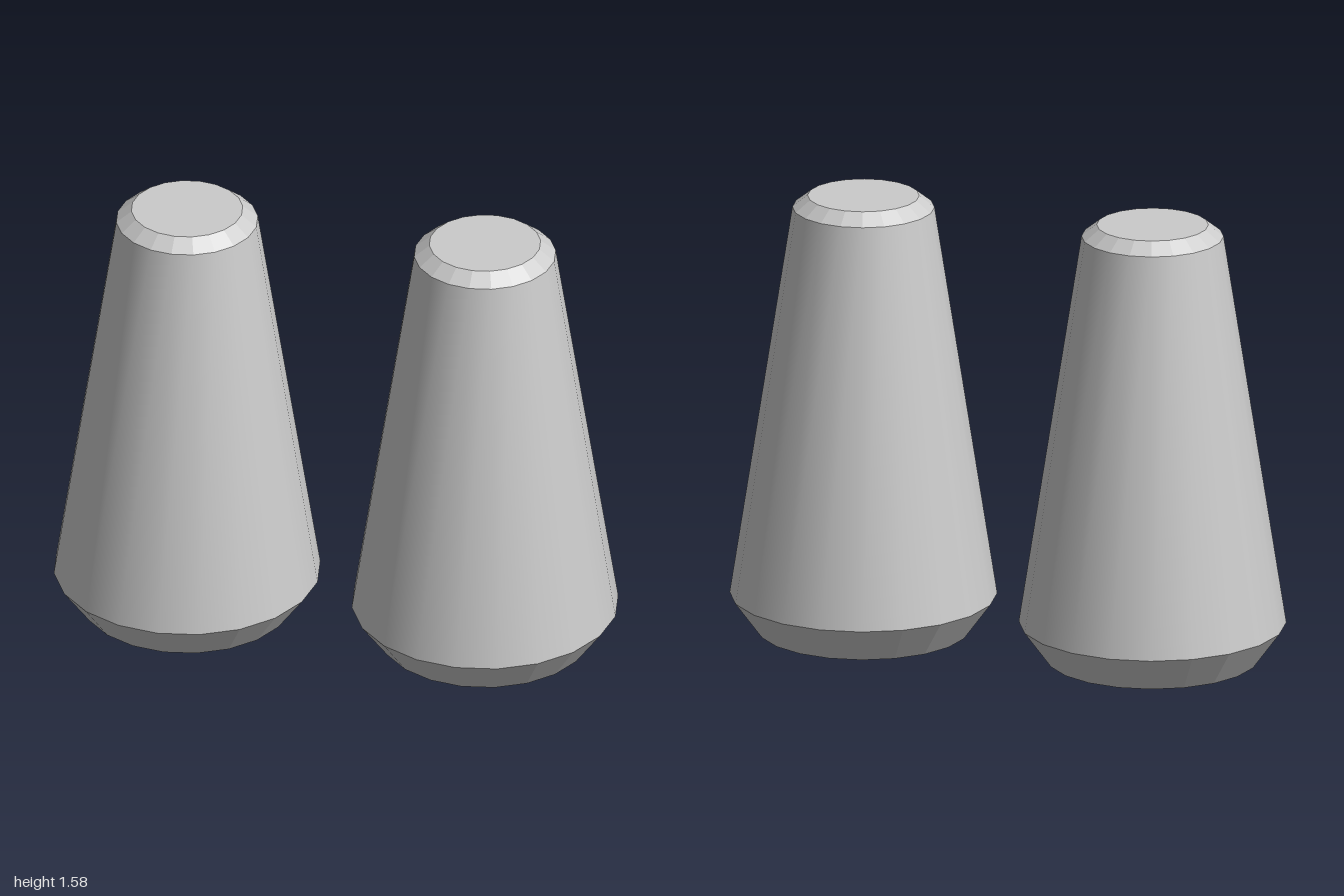
import * as THREE from 'three';

const SIDES = 20;
const smooth = new THREE.MeshStandardMaterial({ color: 0xcccccc });
const faceted = new THREE.MeshStandardMaterial({ color: 0xcccccc, flatShading: true });

// Open conical ring between two heights
function band(name, rBottom, yBottom, rTop, yTop, material) {
  const geometry = new THREE.CylinderGeometry(rTop, rBottom, yTop - yBottom, SIDES, 1, true);
  geometry.translate(0, (yBottom + yTop) / 2, 0);
  const mesh = new THREE.Mesh(geometry, material);
  mesh.name = name;
  return mesh;
}

// Flat disc facing up (+1) or down (-1)
function cap(name, radius, y, facing) {
  const geometry = new THREE.CircleGeometry(radius, SIDES);
  geometry.rotateX(-facing * Math.PI / 2);
  geometry.translate(0, y, 0);
  const mesh = new THREE.Mesh(geometry, faceted);
  mesh.name = name;
  return mesh;
}

// Tapered peg with a chamfer at each end
function createPeg(name, x) {
  const peg = new THREE.Group();
  peg.name = name;
  peg.add(
    cap('bottomCap', 0.37, 0, -1),
    band('bottomChamfer', 0.37, 0, 0.467, 0.132, faceted),
    band('taperedBody', 0.467, 0.132, 0.248, 1.541, smooth),
    band('topChamfer', 0.248, 1.541, 0.195, 1.583, faceted),
    cap('topCap', 0.195, 1.583, 1)
  );
  peg.position.x = x;
  return peg;
}

export function createModel() {
  const model = new THREE.Group();
  model.name = 'taperedPegPair';
  model.add(createPeg('leftPeg', 0.533), createPeg('rightPeg', -0.533));
  return model;
}
